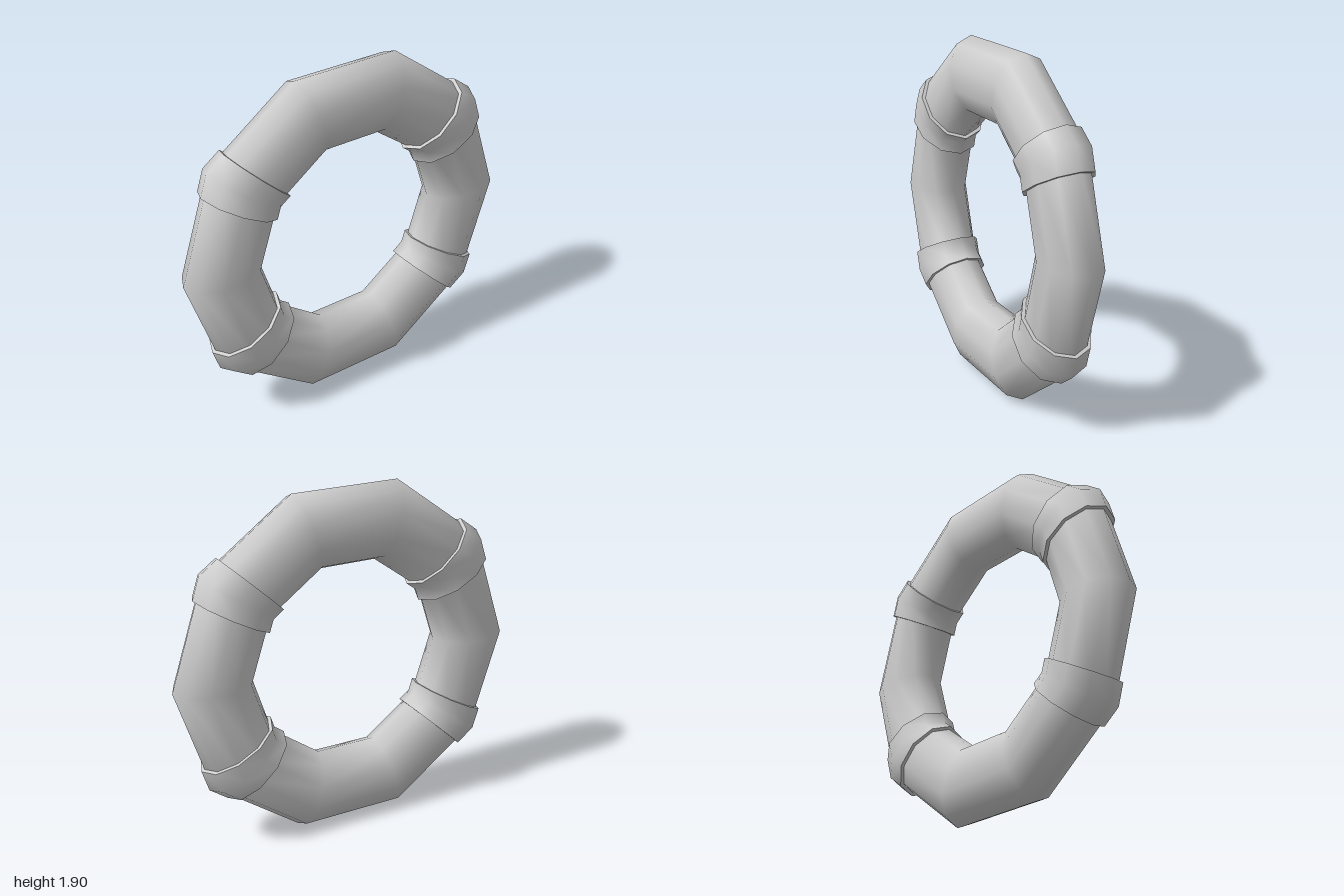
import * as THREE from 'three';
import { toCreasedNormals } from 'three/addons/utils/BufferGeometryUtils.js';

const SIDES = 10;               // sides of the tube and of the ring
const STEP = (Math.PI * 2) / SIDES;
const RADIUS = 0.78;            // centre line of the ring
const TUBE = [0.22, 0.157];     // radial and depth half sizes of the tube
const CUFF = [0.241, 0.177];    // the same for the cuffs

// Sweeps an oval around the z axis through sections of { angle, size, scale }.
function sweep(sections) {
  const positions = [];
  const index = [];
  for (const { angle, size, scale = 1 } of sections) {
    for (let j = 0; j < SIDES; j++) {
      const r = (RADIUS + size[0] * Math.cos(j * STEP)) * scale;
      positions.push(r * Math.cos(angle), r * Math.sin(angle), size[1] * Math.sin(j * STEP));
    }
  }
  for (let i = 0; i < sections.length - 1; i++) {
    for (let j = 0; j < SIDES; j++) {
      const k = (j + 1) % SIDES;
      const a = i * SIDES + j, b = a + SIDES;
      const d = i * SIDES + k, c = d + SIDES;
      index.push(a, b, c, a, c, d);
    }
  }
  const geometry = new THREE.BufferGeometry();
  geometry.setAttribute('position', new THREE.Float32BufferAttribute(positions, 3));
  geometry.setIndex(index);
  return toCreasedNormals(geometry, Math.PI / 3);
}

export function createModel() {
  const group = new THREE.Group();
  group.name = 'ring';
  const material = new THREE.MeshStandardMaterial({ color: 0xcccccc });
  const centreY = Math.sin(2 * STEP);

  function add(name, geometry, turn = 0) {
    const mesh = new THREE.Mesh(geometry, material);
    mesh.name = name;
    mesh.position.y = centreY;
    mesh.rotation.z = turn;
    group.add(mesh);
  }

  // Ten-sided ring
  const ringSections = [];
  for (let i = 0; i <= SIDES; i++) ringSections.push({ angle: i * STEP, size: TUBE });
  add('ringTube', sweep(ringSections));

  // Cuffs bent over four corners, their ends lying on the straight runs and closed down to the tube
  const half = THREE.MathUtils.degToRad(7.1);
  const scale = Math.cos(STEP / 2) / Math.cos(STEP / 2 - half);
  const cuff = sweep([
    { angle: -half, size: TUBE, scale },
    { angle: -half, size: CUFF, scale },
    { angle: 0, size: CUFF },
    { angle: half, size: CUFF, scale },
    { angle: half, size: TUBE, scale },
  ]);
  const corners = { upperLeftCuff: 1, upperRightCuff: 4, lowerRightCuff: 6, lowerLeftCuff: 9 };
  for (const [name, corner] of Object.entries(corners)) add(name, cuff, corner * STEP);

  return group;
}
